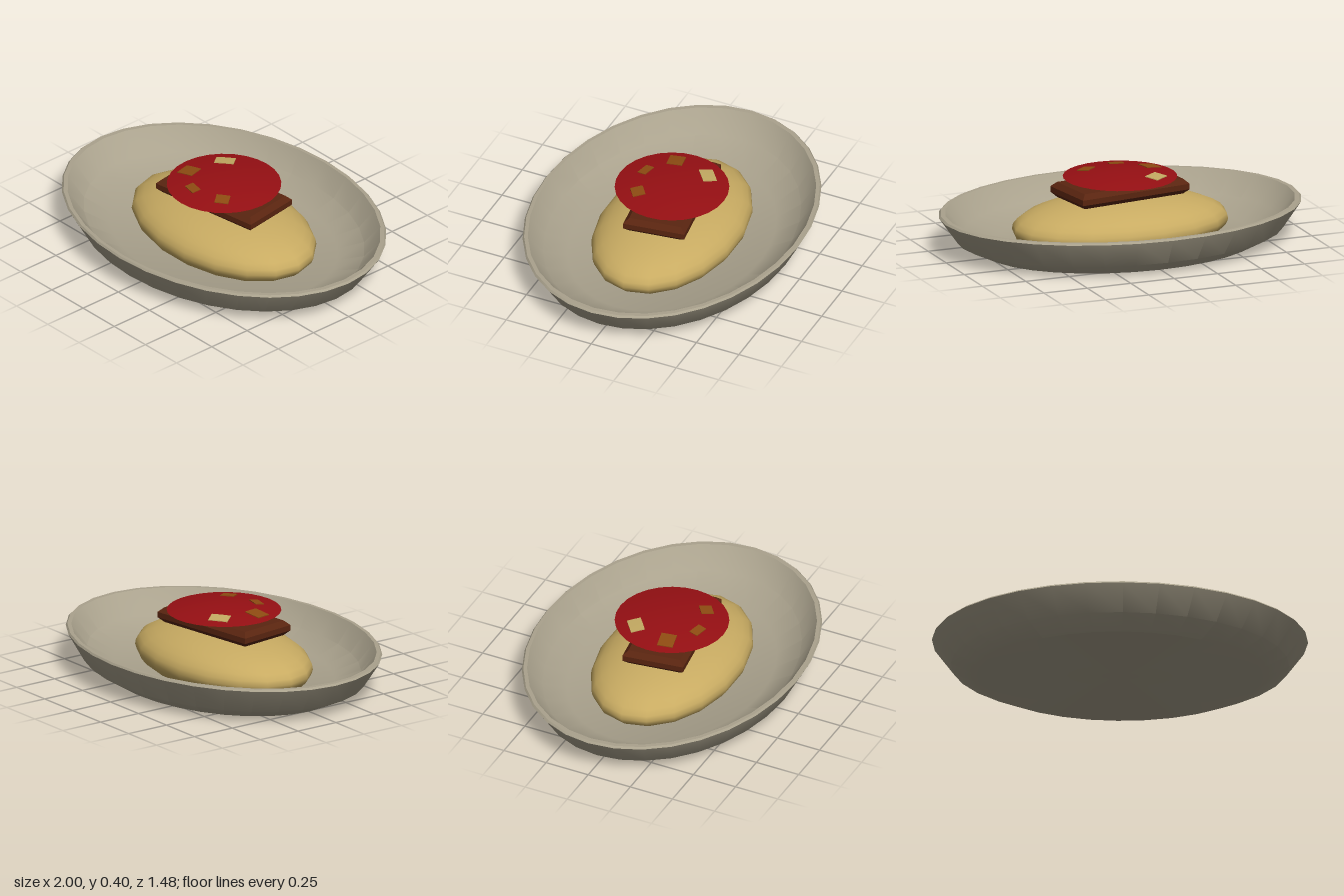
import * as THREE from 'three';
import { toCreasedNormals } from 'three/addons/utils/BufferGeometryUtils.js';

const material = (name, color, extra = {}) => {
  const m = new THREE.MeshStandardMaterial({ color, ...extra });
  m.name = name;
  return m;
};

// Turned shape from [radius, height] points, optionally squashed in depth
function turned(points, segments, depth = 1) {
  const g = new THREE.LatheGeometry(points.map(([r, y]) => new THREE.Vector2(r, y)), segments);
  g.scale(1, 1, depth);
  return toCreasedNormals(g, 0.53);
}

// Height of the domed sauce surface at a given radius
const domeHeight = (r) => 0.404 - 0.031 * (r / 0.305) ** 2;

export function createModel() {
  const group = new THREE.Group();
  const ceramic = material('ceramic', 0xaaa28d);
  const mash = material('mash', 0xc8ab62);
  const meat = material('meat', 0x5a2510);
  const sauceRed = material('sauceRed', 0x960f13);
  const onion = material('onion', 0x8f4c12);
  const cream = material('cream', 0xc4aa62);

  const add = (name, geometry, mat) => {
    const mesh = new THREE.Mesh(geometry, mat);
    mesh.name = name;
    group.add(mesh);
    return mesh;
  };

  // Oval dish: underside, wall, rim, then the inside back to the centre
  add('dish', turned([
    [0, 0], [0.76, 0], [0.90, 0.065], [1, 0.205], [0.99, 0.215],
    [0.965, 0.215], [0.865, 0.105], [0.70, 0.045], [0, 0.04],
  ], 32, 0.74), ceramic);

  // Mound: squashed ball cut off just below the dish floor
  const mound = new THREE.SphereGeometry(1, 18, 12, 0, Math.PI * 2, 0, Math.PI * 0.68);
  mound.scale(0.605, 0.163, 0.382);
  add('mound', mound, mash).position.y = 0.115;

  // Chamfered slab, slightly turned
  const bevel = 0.026, halfX = 0.33 - bevel, halfZ = 0.17 - bevel;
  const outline = new THREE.Shape();
  outline.moveTo(-halfX, -halfZ);
  outline.lineTo(halfX, -halfZ);
  outline.lineTo(halfX, halfZ);
  outline.lineTo(-halfX, halfZ);
  const slab = new THREE.ExtrudeGeometry(outline, {
    depth: 0.03, bevelEnabled: true, bevelSize: bevel, bevelThickness: bevel, bevelSegments: 1,
  });
  slab.translate(0, 0, -0.015);
  slab.rotateX(-Math.PI / 2);
  const slabMesh = add('slab', slab, meat);
  slabMesh.position.y = 0.308;
  slabMesh.rotation.y = 0.145;

  // Domed disc of sauce with a thin flat underside
  const rings = [0.305, 0.24, 0.17, 0.09, 0];
  add('sauce', turned([[0, 0.369], [0.29, 0.369],
    ...rings.map((r) => [r, domeHeight(r)])], 28), sauceRed);

  // Thin chunks that follow the dome: x, z, length, width, turn, material
  const chunks = [
    [-0.15, -0.14, 0.105, 0.075, 0.67, cream],
    [-0.2, 0.07, 0.095, 0.085, 0.2, onion],
    [-0.05, 0.178, 0.08, 0.05, -0.2, onion],
    [0.14, 0.135, 0.075, 0.068, 0.65, onion],
  ];
  chunks.forEach(([x, z, length, width, turn, mat], i) => {
    const g = new THREE.BoxGeometry(length, 0.006, width, 3, 1, 3);
    g.rotateY(turn);
    g.translate(x, 0.001, z);
    const p = g.attributes.position;
    for (let k = 0; k < p.count; k++) {
      p.setY(k, p.getY(k) + domeHeight(Math.hypot(p.getX(k), p.getZ(k))));
    }
    add(`chunk${i + 1}`, toCreasedNormals(g, 0.6), mat);
  });

  return group;
}
